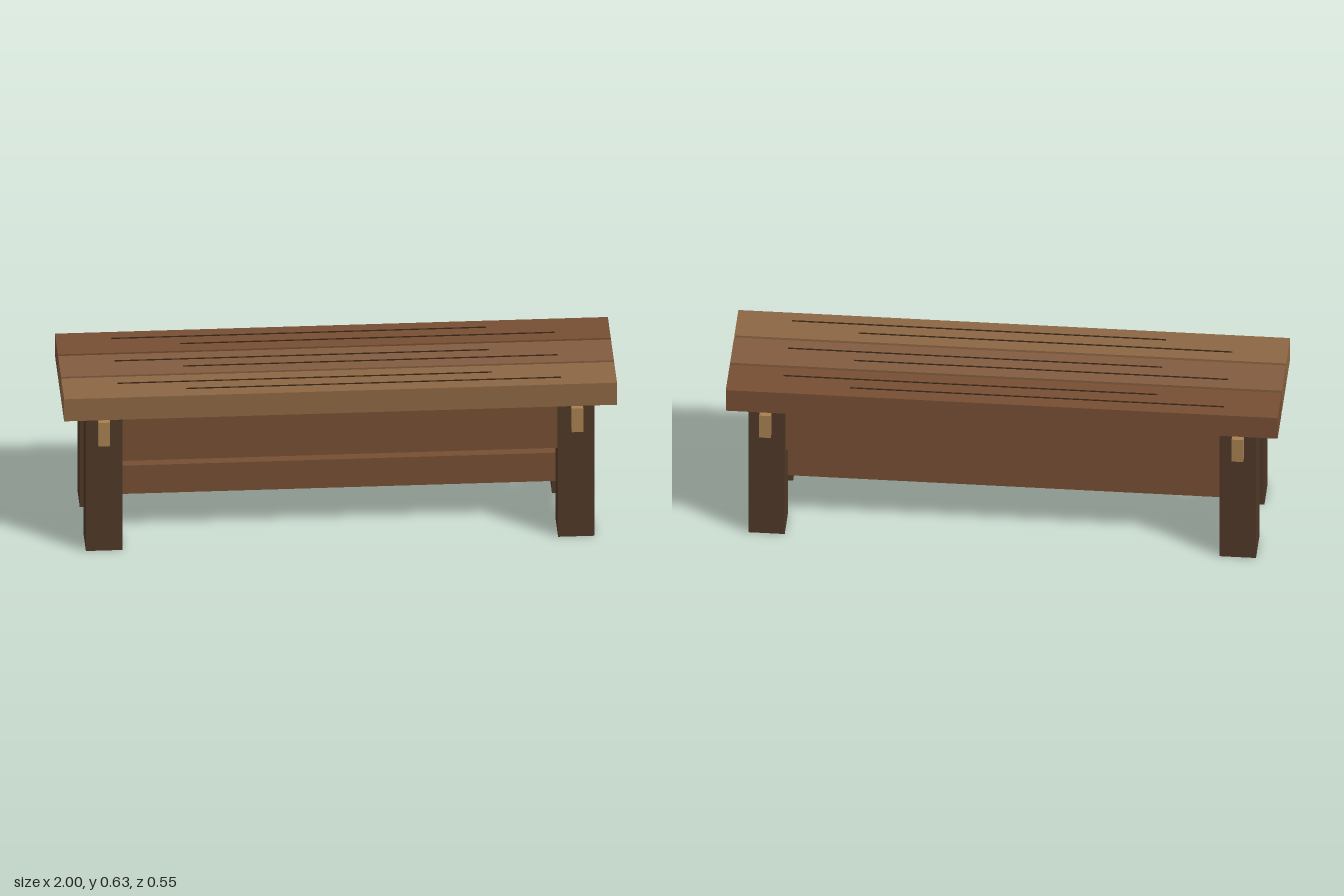
import * as THREE from 'three';

const mat = (color) => new THREE.MeshStandardMaterial({ color, flatShading: true });

export function createModel() {
  const bench = new THREE.Group();
  bench.name = 'bench';

  const legWood = mat(0x4e3826);
  const railWood = mat(0x754e33);
  const pegWood = mat(0xa57f4f);
  const grainDark = mat(0x3a2616);

  // Box given by its [min, max] range on each axis
  function box(name, [x0, x1], [y0, y1], [z0, z1], material, parent = bench) {
    const mesh = new THREE.Mesh(new THREE.BoxGeometry(x1 - x0, y1 - y0, z1 - z0), material);
    mesh.position.set((x0 + x1) / 2, (y0 + y1) / 2, (z0 + z1) / 2);
    mesh.name = name;
    parent.add(mesh);
  }

  // Mirrored range for the negative side
  const side = ([a, b], s) => (s > 0 ? [a, b] : [-b, -a]);

  // Seat planks, each with two staggered grain lines
  const planks = [
    ['backPlank', -0.1745, 0x754e33],
    ['middlePlank', 0, 0x815c3f],
    ['frontPlank', 0.1745, 0x8b6643],
  ];
  for (const [name, z, color] of planks) {
    const plank = new THREE.Group();
    plank.name = name;
    bench.add(plank);
    box('board', [-1, 1], [0.541, 0.631], [z - 0.081, z + 0.081], mat(color), plank);
    box('grainLine', [-0.8, 0.555], [0.628, 0.634], [z - 0.03, z - 0.026], grainDark, plank);
    box('grainLine', [-0.555, 0.8], [0.628, 0.634], [z + 0.026, z + 0.03], grainDark, plank);
  }

  for (const sz of [1, -1]) {
    // Long apron under the seat
    box('apron', [-0.79, 0.79], [0.346, 0.528], side([0.101, 0.205], sz), railWood);
    // Legs and the small pegs outside them
    for (const sx of [1, -1]) {
      box('leg', side([0.788, 0.92], sx), [0, 0.541], side([0.104, 0.237], sz), legWood);
      box('peg', side([0.835, 0.877], sx), [0.445, 0.541], side([0.246, 0.276], sz), pegWood);
    }
  }

  // Lower stretchers: one across each end, one along the middle
  for (const sx of [1, -1]) {
    box('endStretcher', side([0.815, 0.897], sx), [0.141, 0.237], [-0.104, 0.104], railWood);
  }
  box('longStretcher', [-0.855, 0.855], [0.132, 0.247], [-0.054, 0.054], railWood);

  return bench;
}
